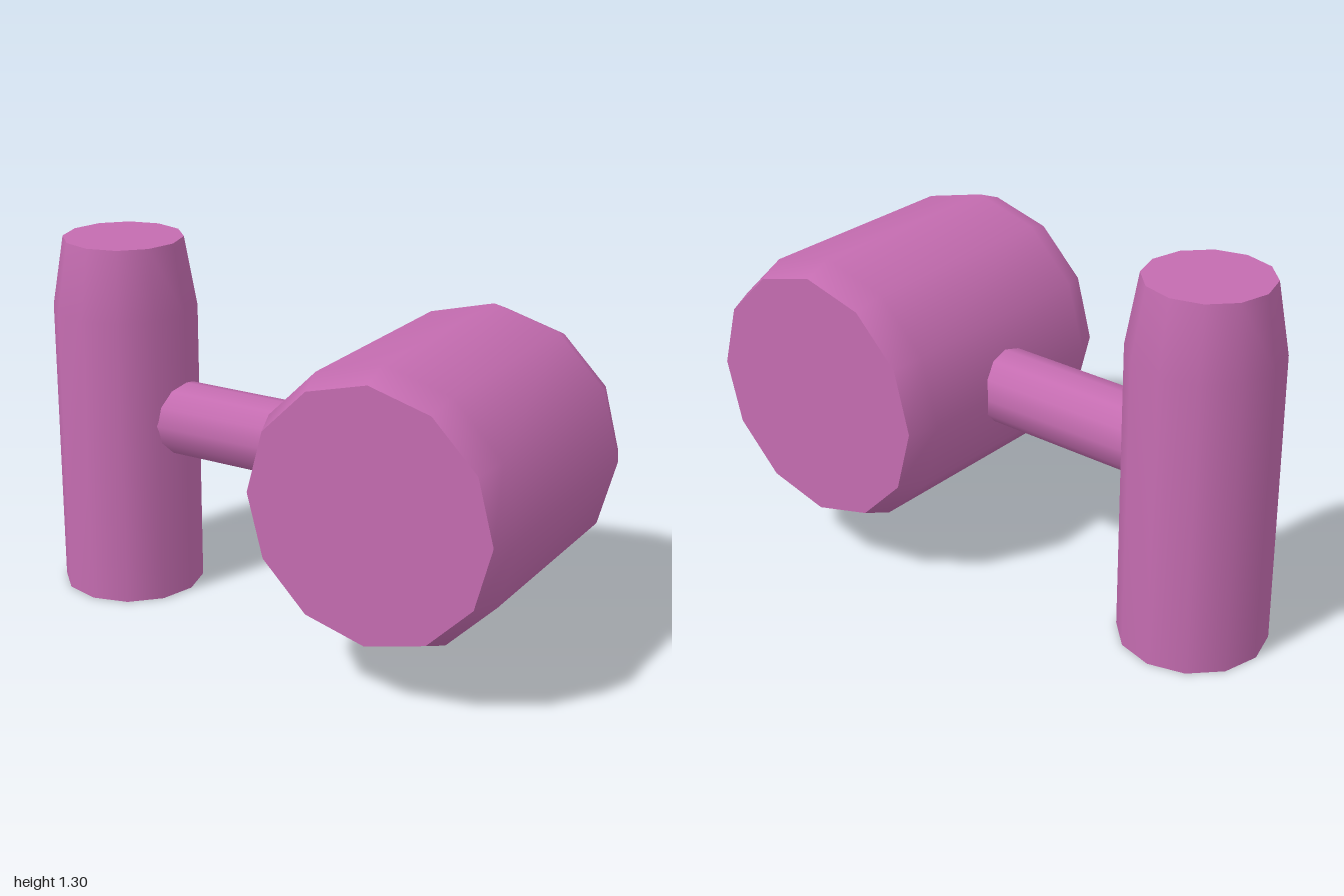
import * as THREE from 'three';
import { mergeGeometries } from 'three/addons/utils/BufferGeometryUtils.js';

const SIDES = 12;
const material = new THREE.MeshStandardMaterial({ color: 0xc46cb0 });

// Smooth turned side with flat, sharp-edged end caps; profile is [radius, height] from bottom to top.
function turnedPart(name, profile) {
  const side = new THREE.LatheGeometry(profile.map(([r, y]) => new THREE.Vector2(r, y)), SIDES);
  const [bottomR, bottomY] = profile[0];
  const [topR, topY] = profile[profile.length - 1];
  const bottom = new THREE.CircleGeometry(bottomR, SIDES).rotateX(Math.PI / 2).translate(0, bottomY, 0);
  const top = new THREE.CircleGeometry(topR, SIDES).rotateX(-Math.PI / 2).translate(0, topY, 0);
  const mesh = new THREE.Mesh(mergeGeometries([side, bottom, top]), material);
  mesh.name = name;
  return mesh;
}

export function createModel() {
  const group = new THREE.Group();
  group.name = 'model';
  const axisY = 0.667;

  // Upright post, tapered at the top
  const post = turnedPart('post', [[0.257, 0], [0.257, 1.05], [0.214, 1.3]]);
  post.position.x = -0.743;

  // Horizontal rod, sunk into both bodies
  const rod = turnedPart('rod', [[0.133, -0.6], [0.133, 0.6]]);
  rod.rotation.z = -Math.PI / 2;
  rod.position.set(-0.12, axisY, 0);

  // Large drum lying front to back, chamfered at both ends
  const drum = turnedPart('drum', [[0.438, -0.488], [0.478, -0.39], [0.478, 0.39], [0.438, 0.488]]);
  drum.rotation.x = Math.PI / 2;
  drum.position.set(0.518, axisY, 0);

  group.add(post, rod, drum);
  return group;
}
